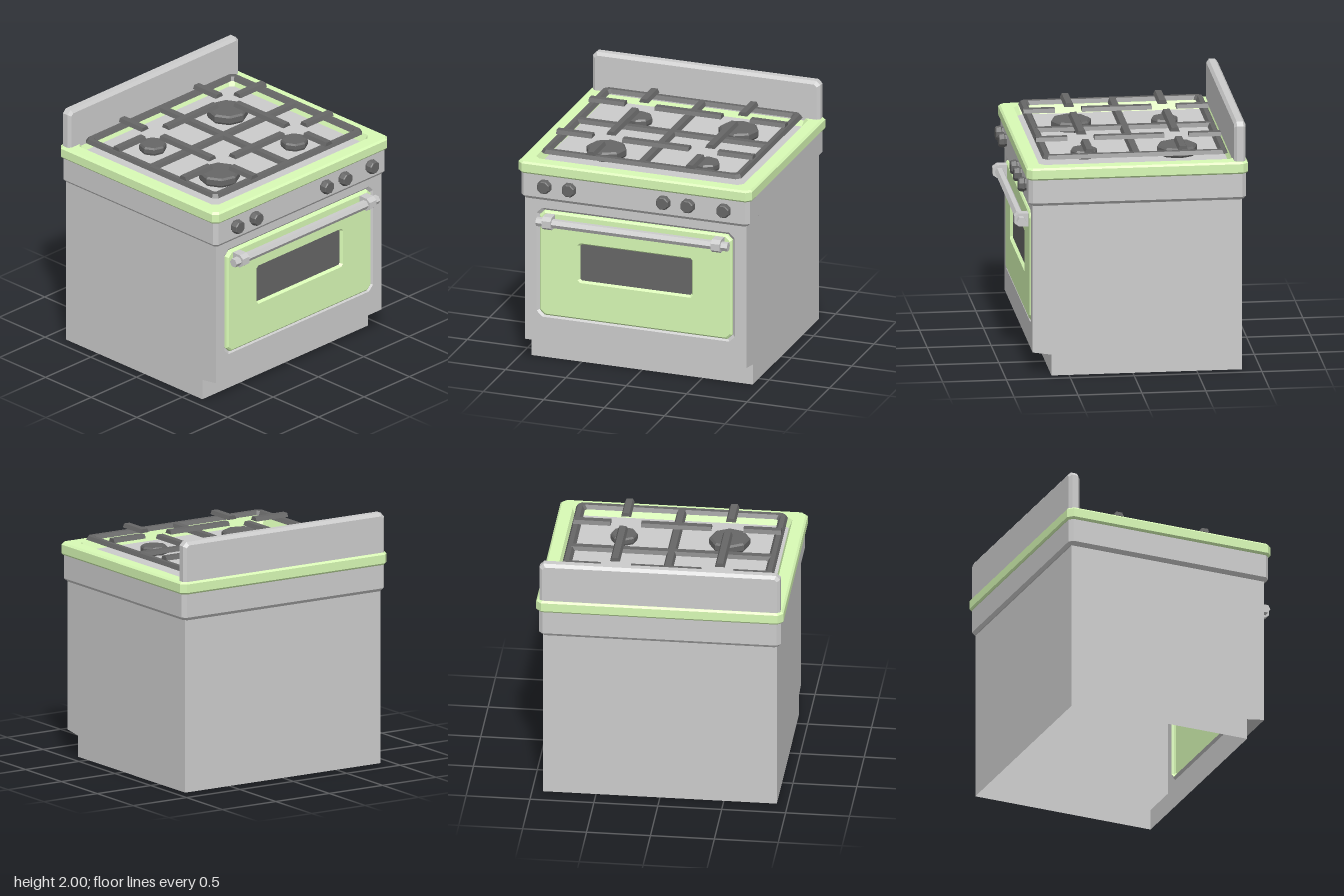
import * as THREE from 'three';

const mat = (color, side = THREE.FrontSide) =>
  new THREE.MeshStandardMaterial({ color, side, flatShading: true });

// Skin a list of loops; closed loops wrap round, caps are fans
function loft(loops, { wrap = true, start = false, end = false } = {}) {
  const pos = [];
  const same = (a, b) => Math.hypot(a[0] - b[0], a[1] - b[1], a[2] - b[2]) < 1e-6;
  const tri = (a, b, c) => {
    if (!same(a, b) && !same(b, c) && !same(a, c)) pos.push(...a, ...b, ...c);
  };
  for (let i = 0; i < loops.length - 1; i++) {
    const a = loops[i], b = loops[i + 1], n = a.length;
    for (let j = 0; j < (wrap ? n : n - 1); j++) {
      const k = (j + 1) % n;
      tri(a[j], a[k], b[k]);
      tri(a[j], b[k], b[j]);
    }
  }
  const fan = (l, flip) => {
    for (let j = 1; j < l.length - 1; j++) flip ? tri(l[0], l[j + 1], l[j]) : tri(l[0], l[j], l[j + 1]);
  };
  if (start) fan(loops[0], true);
  if (end) fan(loops[loops.length - 1], false);
  const g = new THREE.BufferGeometry();
  g.setAttribute('position', new THREE.Float32BufferAttribute(pos, 3));
  g.computeVertexNormals();
  return g;
}

// Rectangle with cut corners: half width, low, high, corner cut, depth along z
const rect = ([w, lo, hi, c, z]) => [
  [w, lo + c], [w, hi - c], [w - c, hi], [c - w, hi],
  [-w, hi - c], [-w, lo + c], [c - w, lo], [w - c, lo],
].map(([x, y]) => [x, y, z]);

// Stack of upright rectangles (rows step along z)
const upright = (rows, opt) => loft(rows.map(rect), opt);
// Stack of flat rectangles (rows: half width, back z, front z, corner cut, y)
const flat = (rows, opt) =>
  upright(rows.map(([w, z0, z1, c, y]) => [w, -z1, -z0, c, y]), opt).rotateX(-Math.PI / 2);

export function createModel() {
  const model = new THREE.Group();
  const grey = mat(0xcccccc), green = mat(0xd8fab5), dark = mat(0x666666);
  const shell = mat(0xcccccc, THREE.DoubleSide);
  const add = (name, geo, material, parent = model) => {
    const m = new THREE.Mesh(geo, material);
    m.name = name;
    parent.add(m);
    return m;
  };
  const group = (name) => {
    const g = new THREE.Group();
    g.name = name;
    model.add(g);
    return g;
  };
  const both = { start: true, end: true };

  // Hollow body, open underneath, with a toe recess
  const W = 0.915, F = 0.785, B = -0.855, T = 1.4;
  const body = group('body');
  const profile = new THREE.Shape(
    [[B, 0], [0.638, 0], [0.638, 0.168], [F, 0.19], [F, T], [B, T]].map(([z, y]) => new THREE.Vector2(-z, y)));
  for (const s of [-1, 1]) {
    const side = new THREE.ShapeGeometry(profile).rotateY(Math.PI / 2);
    if (s < 0) side.rotateY(Math.PI).scale(1, 1, -1);
    add('sidePanel', side.translate(s * W, 0, 0), shell, body);
  }
  const ribbon = (pts) => loft(pts.map(([z, y]) => [[-W, y, z], [W, y, z]]), { wrap: false });
  add('toeKick', ribbon([[0.638, 0], [0.638, 0.168], [F, 0.19]]), shell, body);
  add('backPanel', ribbon([[B, T], [B, 0]]), shell, body);
  add('frontPanel', upright([
    [W, 0.19, T, 0, F], [0.82, 0.393, 1.302, 0.045, F], [0.798, 0.41, 1.282, 0.04, 0.765],
  ]), shell, body);

  // Oven door with a bevelled window opening
  const door = group('ovenDoor');
  add('doorPanel', upright([
    [0.798, 0.41, 1.282, 0.04, 0.765], [0.795, 0.413, 1.279, 0.04, 0.784],
    [0.782, 0.426, 1.266, 0.035, 0.795], [0.478, 0.72, 1.052, 0.02, 0.795],
    [0.46, 0.736, 1.036, 0.012, 0.772],
  ]), mat(0xd8fab5, THREE.DoubleSide), door);
  add('doorWindow', upright([[0.462, 0.734, 1.038, 0.01, 0.773]], { end: true }),
    mat(0x666666, THREE.DoubleSide), door);

  // Door handle: bar and two brackets
  const handle = group('doorHandle');
  const bar = add('handleBar', new THREE.CylinderGeometry(0.037, 0.037, 1.585, 6).rotateZ(Math.PI / 2), grey, handle);
  bar.position.set(0, 1.212, 0.855);
  const bracket = new THREE.Shape(
    [[0.78, 1.16], [0.87, 1.16], [0.905, 1.185], [0.905, 1.24], [0.87, 1.265], [0.78, 1.265]]
      .map(([z, y]) => new THREE.Vector2(-z, y)));
  for (const s of [-1, 1]) {
    const g = new THREE.ExtrudeGeometry(bracket, { depth: 0.074, bevelEnabled: false });
    add('handleBracket', g.rotateY(Math.PI / 2).translate(s * 0.7 - 0.037, 0, 0), grey, handle);
  }

  // Control band; its top forms the cooktop floor
  add('controlBand', flat([
    [0.925, -0.865, 0.797, 0.025, 1.375], [0.947, -0.883, 0.817, 0.03, 1.4],
    [0.947, -0.883, 0.817, 0.03, 1.6], [0.845, -0.785, 0.71, 0.03, 1.62],
  ], both), grey);

  // Raised rim round the cooktop
  add('cooktopRim', flat([
    [0.94, -0.875, 0.81, 0.03, 1.588], [0.955, -0.89, 0.822, 0.035, 1.588],
    [0.967, -0.9, 0.834, 0.04, 1.602], [0.967, -0.9, 0.834, 0.04, 1.67],
    [0.952, -0.885, 0.82, 0.035, 1.685], [0.86, -0.8, 0.725, 0.04, 1.685],
    [0.83, -0.77, 0.695, 0.03, 1.612],
  ]), green);

  // Backguard with bevelled edges
  add('backguard', upright([
    [0.918, 1.6, 1.975, 0.02, -0.882], [0.942, 1.6, 2, 0.032, -0.862],
    [0.942, 1.6, 2, 0.032, -0.812], [0.918, 1.6, 1.975, 0.02, -0.792],
  ], both), grey);

  // Control knobs
  const knob = [[0, 0], [0.05, 0], [0.05, 0.012], [0.06, 0.02], [0.053, 0.056], [0.046, 0.063], [0, 0.063]]
    .map(([r, y]) => new THREE.Vector2(r, y));
  for (const x of [-0.735, -0.53, 0.25, 0.453, 0.75]) {
    add('knob', new THREE.LatheGeometry(knob, 8, Math.PI / 8).rotateX(Math.PI / 2), dark)
      .position.set(x, 1.505, 0.817);
  }

  // Burners
  for (const [x, z, r, h] of [[-0.41, 0.325, 0.16, 0.078], [0.415, -0.405, 0.16, 0.078],
    [-0.41, -0.405, 0.107, 0.066], [0.415, 0.325, 0.107, 0.066]]) {
    const cap = [[r * 0.92, 0], [r, 0.02], [r, h - 0.014], [r * 0.9, h], [0, h]]
      .map(([a, b]) => new THREE.Vector2(a, b));
    add('burner', new THREE.LatheGeometry(cap, 8, 0.1), dark).position.set(x, 1.618, z);
  }

  // Grate frame and crossing bars, all with sloped sides
  const grate = group('grate');
  const lo = 1.717, hi = 1.747;
  add('grateFrame', flat([
    [0.828, -0.758, 0.693, 0.035, lo], [0.812, -0.742, 0.677, 0.03, hi],
    [0.776, -0.708, 0.64, 0.02, hi], [0.755, -0.69, 0.62, 0.015, lo],
    [0.828, -0.758, 0.693, 0.035, lo],
  ]), dark, grate);
  const grateBar = (alongX, at, from, to, y) => {
    const half = (to - from) / 2, mid = (from + to) / 2;
    const row = (w, h) => alongX ? [half, -w, w, 0, h] : [w, -half, half, 0, h];
    const m = add('grateBar', flat([row(0.039, y), row(0.025, y + 0.03)], both), dark, grate);
    m.position.set(alongX ? mid : at, 0, alongX ? at : mid);
  };
  grateBar(true, -0.042, -0.8, 0.8, lo + 0.001);
  grateBar(false, 0, -0.735, 0.65, lo + 0.001);
  for (const z of [-0.405, 0.325]) {
    for (const [a, b] of [[-0.815, -0.52], [-0.27, 0.28], [0.518, 0.81]]) grateBar(true, z, a, b, 1.758);
  }
  for (const x of [-0.405, 0.415]) {
    for (const [a, b] of [[-0.745, -0.495], [-0.303, 0.243], [0.455, 0.703]]) grateBar(false, x, a, b, 1.758);
  }
  return model;
}
